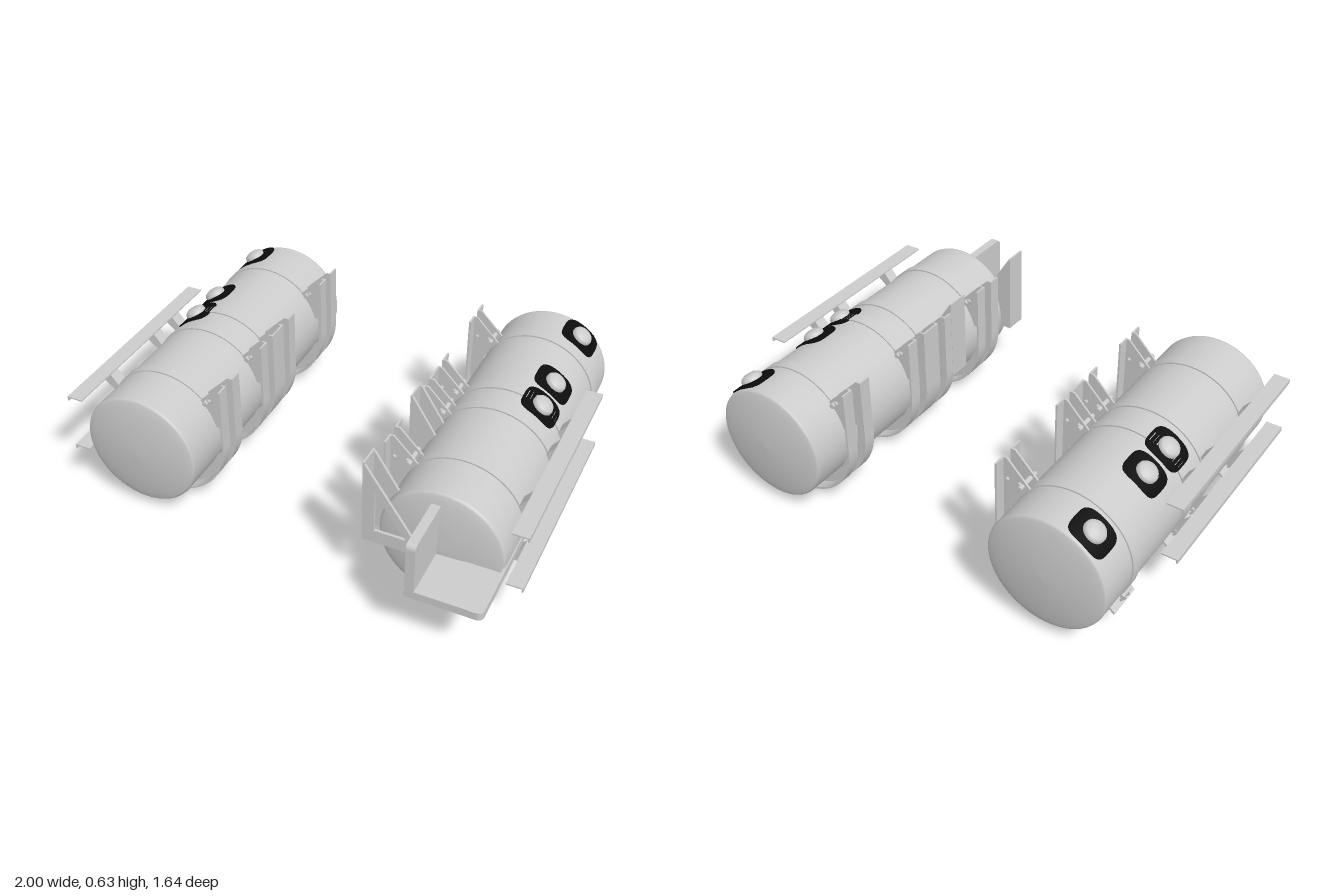
import * as THREE from 'three';
import { ParametricGeometry } from 'three/addons/geometries/ParametricGeometry.js';

const grey = new THREE.MeshStandardMaterial({ color: 0xcccccc });
const greyThin = new THREE.MeshStandardMaterial({ color: 0xcccccc, side: THREE.DoubleSide });
const black = new THREE.MeshStandardMaterial({ color: 0x0c0c0c, side: THREE.DoubleSide });

const CX = 0.665, CY = 0.314, R = 0.255;
const rad = THREE.MathUtils.degToRad;
const polar = (r, deg) => [r * Math.cos(rad(deg)), r * Math.sin(rad(deg))];

function add(parent, name, geometry, x = 0, y = 0, z = 0, material = grey) {
  const m = new THREE.Mesh(geometry, material);
  m.name = name;
  m.position.set(x, y, z);
  parent.add(m);
  return m;
}

function box(parent, name, x0, x1, y0, y1, z0, z1) {
  return add(parent, name, new THREE.BoxGeometry(x1 - x0, y1 - y0, z1 - z0),
    (x0 + x1) / 2, (y0 + y1) / 2, (z0 + z1) / 2);
}

// Flat outline in x/y, extruded from z0 to z1
function plate(parent, name, pts, z0, z1, hole) {
  const shape = new THREE.Shape(pts.map(p => new THREE.Vector2(...p)));
  if (hole) shape.holes.push(new THREE.Path(hole.map(p => new THREE.Vector2(...p))));
  const g = new THREE.ExtrudeGeometry(shape, { depth: z1 - z0, bevelEnabled: false });
  return add(parent, name, g, 0, 0, z0);
}

function arc(r, from, to, n) {
  return Array.from({ length: n + 1 }, (_, i) => {
    const a = from + (to - from) * i / n;
    return polar(typeof r === 'function' ? r(a) : r, a);
  });
}

// Tank body with shallow domed ends
function tankBody(parent) {
  const pts = [[0, -0.822], [0.08, -0.819], [0.16, -0.81], [0.215, -0.8], [0.244, -0.793], [0.252, -0.788], [R, -0.778],
    [R, 0.553], [0.252, 0.563], [0.244, 0.568], [0.215, 0.576], [0.16, 0.586], [0.08, 0.595], [0, 0.598]];
  const g = new THREE.LatheGeometry(pts.map(p => new THREE.Vector2(...p)), 64);
  g.rotateX(Math.PI / 2);
  add(parent, 'tank', g);
}

// Curved rubber pad with a filler cap, tilted outward
function filler(parent, z) {
  const tilt = rad(34);
  const pad = new ParametricGeometry((u, v, t) => {
    const a = u * Math.PI * 2, c = Math.cos(a), s = Math.sin(a);
    const k = Math.min(v / 0.9, 1) * 0.076 / Math.pow(c ** 4 + s ** 4, 0.25);
    const r = v > 0.9 ? 0.25 : 0.261;
    const ang = tilt + k * c * 1.15 / R;
    t.set(r * Math.sin(ang), r * Math.cos(ang), k * s);
  }, 40, 10);
  add(parent, 'fillerPad', pad, 0, 0, z, black);
  const cap = new THREE.LatheGeometry([[0.046, 0], [0.046, 0.012], [0.04, 0.022], [0.024, 0.03], [0, 0.033]]
    .map(p => new THREE.Vector2(...p)), 32);
  const m = add(parent, 'fillerCap', cap, 0.257 * Math.sin(tilt), 0.257 * Math.cos(tilt), z);
  m.rotation.z = -tilt;
}

// J-shaped cradle: two angle irons, a strap and its fasteners
function cradle(parent, z) {
  const g = new THREE.Group();
  g.name = 'cradle';
  g.position.z = z;
  parent.add(g);
  const outerR = t => a => 0.306 - t - 0.035 * Math.max(0, (a - 260) / 60);
  const outer = [[-0.306, 0.286], ...arc(outerR(0), 180, 320, 36)];
  const inner = [[-0.298, 0.286], ...arc(outerR(0.008), 180, 320, 36)];
  const web = [...outer, ...arc(R + 0.002, 320, 200, 32), [-0.268, -0.06], [-0.268, 0.06],
    ...arc(R + 0.002, 165, 135, 8), [-0.285, 0.286]];
  for (const s of [-1, 1]) {
    const w0 = s > 0 ? 0.024 : -0.032;
    plate(g, 'cradleWeb', web, w0, w0 + 0.008);
    const f0 = s > 0 ? 0.024 : -0.08;
    plate(g, 'cradleFlange', [...outer, ...inner.reverse()], f0, f0 + 0.056);
    inner.reverse();
    const [bx, by] = [-0.225, 0.19];
    for (const [x, y] of [[bx, by], [-0.28, 0.19]]) {
      const b = add(g, 'cradleBolt', new THREE.CylinderGeometry(0.01, 0.01, 0.014, 6), x, y, s * 0.037);
      b.rotation.x = Math.PI / 2;
    }
  }
  // Strap over the tank
  const strap = [...arc(R + 0.006, -40, 140, 48), ...arc(R - 0.002, 140, -40, 48)];
  plate(g, 'strap', strap, -0.025, 0.025);
  // Upper pin
  const pin = add(g, 'strapPin', new THREE.CylinderGeometry(0.011, 0.011, 0.11, 12), -0.215, 0.185, 0);
  pin.rotation.x = Math.PI / 2;
  // Lower clamp: cross bar and tightening bolts
  const [cx, cy] = polar(0.283, -42);
  const bar = add(g, 'clampBar', new THREE.BoxGeometry(0.03, 0.01, 0.15), cx, cy, 0);
  bar.rotation.z = rad(48);
  bar.rotation.z = rad(-42);
  const upper = add(g, 'clampPin', new THREE.CylinderGeometry(0.009, 0.009, 0.06, 12), ...polar(0.268, -33), 0);
  upper.rotation.x = Math.PI / 2;
  for (const s of [-1, 1]) {
    const bolt = add(g, 'clampBolt', new THREE.CylinderGeometry(0.005, 0.005, 0.075, 8), ...polar(0.281, -41), s * 0.013);
    bolt.rotation.z = rad(-41);
    const nut = add(g, 'clampNut', new THREE.CylinderGeometry(0.009, 0.009, 0.01, 6), ...polar(0.288, -45), s * 0.013);
    nut.rotation.z = rad(-41);
  }
}

// Side rail and its outriggers, at top height y
function rail(parent, y) {
  const top = y - CY;
  plate(parent, 'sideRail', [[0.265, top], [0.335, top], [0.335, top - 0.02], [0.329, top - 0.02],
    [0.329, top - 0.006], [0.265, top - 0.006]], -0.39, 0.57);
  const onTank = h => Math.sqrt(R * R - h * h);
  const lo = top - 0.085, hi = top - 0.055;
  const arm = [[0.325, top - 0.006], [0.265, top - 0.006], [onTank(hi), hi], [onTank(lo), lo],
    [Math.max(onTank(lo) + 0.015, 0.255), lo + 0.008], [0.325, top - 0.018]];
  for (const z of [0.332, -0.008, -0.162]) {
    for (const s of [-1, 1]) plate(parent, 'railArmSide', arm, z + s * 0.024 - 0.003, z + s * 0.024 + 0.003);
    const foot = [[onTank(hi), hi], [0.265, top - 0.006], [0.271, top - 0.006], [onTank(lo) + 0.012, lo], [onTank(lo), lo]];
    plate(parent, 'railArmFoot', foot, z - 0.026, z + 0.026);
  }
}

function tankAssembly(name, side) {
  const g = new THREE.Group();
  g.name = name;
  g.position.set(side * CX, CY, 0);
  g.scale.x = side;
  tankBody(g);
  for (const z of [-0.705, -0.325, -0.152]) filler(g, z);
  for (const z of [-0.582, -0.162, -0.015, 0.335]) cradle(g, z);
  rail(g, 0.488);
  rail(g, 0.234);
  return g;
}

// Channel bracket carrying the step: back plate with two gussets
function stepBracket(parent, zBack, zFront, openFront) {
  box(parent, 'bracketBack', 0.358, 0.366, 0.27, 0.643, zBack, zFront);
  const toTank = arc(R, 140, 190, 12).map(([x, y]) => [x + CX, y + CY]);
  const short = [[0.36, 0.27], [0.36, 0.643], [0.372, 0.63], ...toTank];
  plate(parent, 'bracketGusset', short, zBack, zBack + 0.012);
  if (openFront) {
    plate(parent, 'bracketFrame', [[0.36, 0.265], [0.62, 0.265], [0.36, 0.643]], zFront - 0.012, zFront,
      [[0.408, 0.325], [0.54, 0.325], [0.408, 0.515]]);
  } else {
    plate(parent, 'bracketGusset', short, zFront - 0.012, zFront);
  }
}

// Front step: ledge, upright panel and the side bar running back along the tank
function frontStep(parent) {
  const ledge = new THREE.Shape();
  ledge.moveTo(0.62, -0.59);
  ledge.lineTo(0.925, -0.59);
  ledge.lineTo(0.925, -0.79);
  ledge.quadraticCurveTo(0.925, -0.818, 0.897, -0.818);
  ledge.lineTo(0.62, -0.818);
  const lg = new THREE.ExtrudeGeometry(ledge, { depth: 0.035, bevelEnabled: false });
  lg.rotateX(-Math.PI / 2);
  add(parent, 'stepLedge', lg, 0, 0.264, 0);
  const panel = new THREE.Shape();
  panel.moveTo(-0.57, 0.265);
  panel.lineTo(-0.818, 0.265);
  panel.lineTo(-0.818, 0.492);
  panel.quadraticCurveTo(-0.818, 0.52, -0.79, 0.52);
  panel.lineTo(-0.57, 0.52);
  const pg = new THREE.ExtrudeGeometry(panel, { depth: 0.038, bevelEnabled: false });
  pg.rotateY(Math.PI / 2);
  add(parent, 'stepPanel', pg, 0.622, 0, 0, greyThin);
  box(parent, 'stepSideBar', 0.912, 0.925, 0.264, 0.299, -0.135, 0.6);
}

export function createModel() {
  const model = new THREE.Group();
  model.name = 'twinTanks';
  model.add(tankAssembly('leftTank', 1), tankAssembly('rightTank', -1));
  const step = new THREE.Group();
  step.name = 'step';
  stepBracket(step, 0.51, 0.608, true);
  stepBracket(step, 0.055, 0.155, false);
  frontStep(step);
  model.add(step);
  return model;
}
